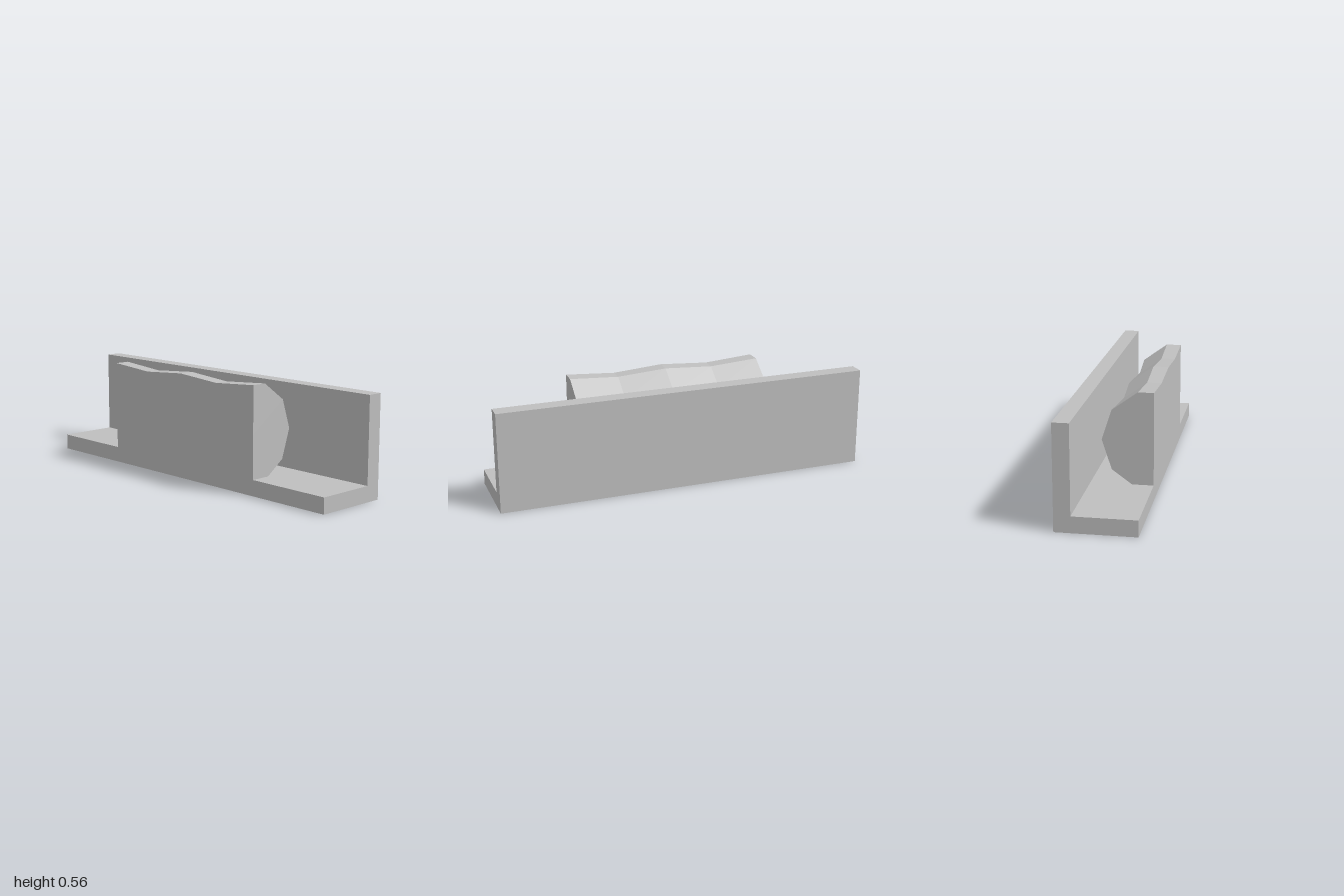
import * as THREE from 'three';

export function createModel() {
  const group = new THREE.Group();
  const grey = new THREE.MeshStandardMaterial({ color: 0xbfbfbf, flatShading: true });
  grey.name = 'plainGrey';

  const add = (name, geometry) => {
    const mesh = new THREE.Mesh(geometry, grey);
    mesh.name = name;
    group.add(mesh);
    return mesh;
  };
  const polygon = (points) => new THREE.Shape(points.map(([x, y]) => new THREE.Vector2(x, y)));

  // L-shaped channel: floor plate and one upright wall
  const floorTop = 0.083;
  const channel = new THREE.ExtrudeGeometry(
    polygon([[-0.2, 0], [0.2, 0], [0.2, 0.53], [0.118, 0.53], [0.118, floorTop], [-0.2, floorTop]]),
    { depth: 2, bevelEnabled: false }
  );
  channel.translate(0, 0, -1);
  add('channel', channel);

  // Waisted ten-sided roller, cut flat along its axis
  const axisX = -0.2, axisY = 0.31, offsetZ = 0.005;
  const rings = [[-0.53, 0.26], [-0.265, 0.24], [0, 0.26], [0.265, 0.24], [0.53, 0.26]];
  const profile = [[-0.53, 0], ...rings, [0.53, 0]].map(([z, r]) => new THREE.Vector2(r, z));
  const roller = new THREE.LatheGeometry(profile, 6, -Math.PI / 10, Math.PI * 1.2);
  const pos = roller.attributes.position;
  for (let i = 0; i < pos.count; i++) pos.setX(i, Math.max(0, pos.getX(i)));
  roller.rotateX(Math.PI / 2);
  roller.translate(axisX, axisY, offsetZ);
  roller.computeVertexNormals();
  add('halfRoller', roller);

  // Flat cut face closing the roller, with the wavy top edge
  const rise = Math.cos(Math.PI / 10);
  const wavyEdge = [...rings].reverse().map(([z, r]) => [z, axisY + r * rise]);
  const cut = new THREE.ShapeGeometry(polygon([[-0.53, floorTop], [0.53, floorTop], ...wavyEdge]));
  cut.rotateY(-Math.PI / 2);
  cut.translate(axisX, 0, offsetZ);
  add('rollerCutFace', cut);

  return group;
}
